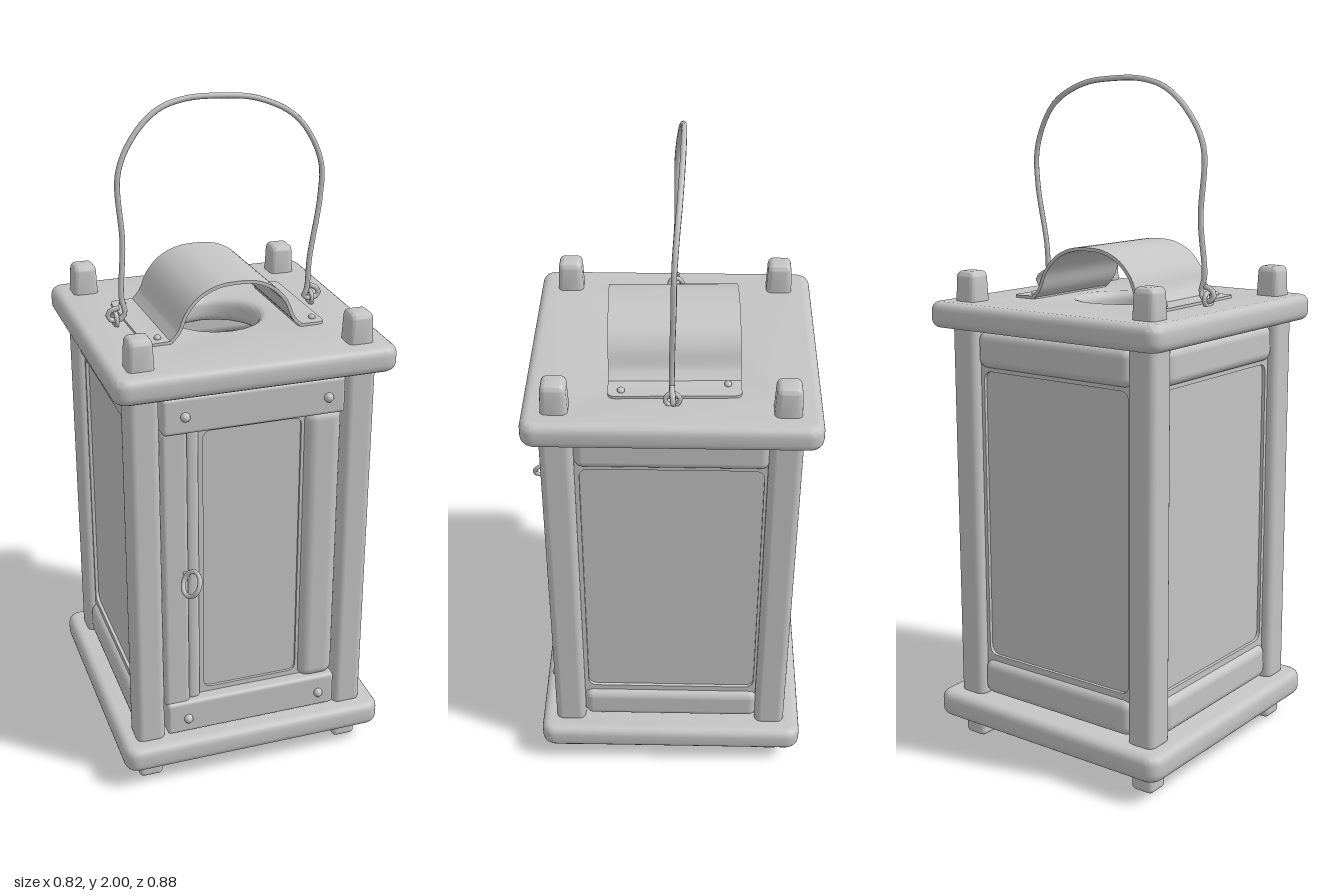
import * as THREE from 'three';
import { toCreasedNormals } from 'three/addons/utils/BufferGeometryUtils.js';
import { RoundedBoxGeometry } from 'three/addons/geometries/RoundedBoxGeometry.js';

const CZ = -0.027; // depth centre of the lantern body

export function createModel() {
  const model = new THREE.Group();
  const grey = new THREE.MeshStandardMaterial({ color: 0xc4c4c4 });
  grey.name = 'plain grey';

  const add = (name, geometry, x = 0, y = 0, z = 0, parent = model) => {
    const mesh = new THREE.Mesh(geometry, grey);
    mesh.name = name;
    mesh.position.set(x, y, z);
    parent.add(mesh);
    return mesh;
  };
  // Soft-edged box given by its limits
  const softBox = (name, x0, x1, y0, y1, z0, z1, r = 0.02, parent = model) =>
    add(name, new RoundedBoxGeometry(x1 - x0, y1 - y0, z1 - z0, 3, r),
      (x0 + x1) / 2, (y0 + y1) / 2, (z0 + z1) / 2, parent);

  const roundedRect = (Type, w, h, r) => {
    const s = new Type(), x = w / 2, y = h / 2;
    s.moveTo(-x + r, -y);
    s.lineTo(x - r, -y); s.quadraticCurveTo(x, -y, x, -y + r);
    s.lineTo(x, y - r); s.quadraticCurveTo(x, y, x - r, y);
    s.lineTo(-x + r, y); s.quadraticCurveTo(-x, y, -x, y - r);
    s.lineTo(-x, -y + r); s.quadraticCurveTo(-x, -y, -x + r, -y);
    return s;
  };

  // Base and roof boards; the roof has a round vent
  const board = (name, y0, y1, vent) => {
    const b = 0.025;
    const shape = roundedRect(THREE.Shape, 0.825 - 2 * b, 0.825 - 2 * b, 0.02);
    if (vent) shape.holes.push(new THREE.Path().absarc(0, 0, 0.13 + b, 0, Math.PI * 2, true));
    const geo = new THREE.ExtrudeGeometry(shape, {
      depth: y1 - y0 - 2 * b, bevelEnabled: true, bevelThickness: b, bevelSize: b,
      bevelSegments: 4, curveSegments: 10,
    });
    geo.translate(0, 0, b).rotateX(-Math.PI / 2);
    add(name, toCreasedNormals(geo, 0.7), 0, y0, CZ);
  };
  board('baseBoard', 0.065, 0.145, false);
  board('roofBoard', 1.28, 1.357, true);

  // Corner posts with feet and tapered finials
  for (const x of [-0.322, 0.317]) {
    for (const z of [0.293, -0.342]) {
      softBox('cornerPost', x - 0.045, x + 0.045, 0.13, 1.3, z - 0.047, z + 0.047, 0.022);
      softBox('foot', x - 0.037, x + 0.037, 0, 0.1, z - 0.037, z + 0.037, 0.015);
      const finial = new RoundedBoxGeometry(0.08, 0.13, 0.08, 3, 0.018);
      const p = finial.attributes.position;
      for (let i = 0; i < p.count; i++) {
        const s = 0.93 - p.getY(i) * 1.1;
        p.setX(i, p.getX(i) * s);
        p.setZ(i, p.getZ(i) * s);
      }
      finial.computeVertexNormals();
      add('finial', toCreasedNormals(finial, 0.7), x, 1.38, z);
    }
  }

  // Glazed wall facing +z in its own group: rails, thin frame and pane
  const wall = (name, width) => {
    const g = new THREE.Group();
    g.name = name;
    const w = width / 2;
    softBox('topRail', -w, w, 1.165, 1.275, -0.06, 0, 0.028, g);
    softBox('bottomRail', -w, w, 0.15, 0.258, -0.06, 0, 0.028, g);
    const frame = roundedRect(THREE.Shape, width, 0.96, 0.005);
    frame.holes.push(roundedRect(THREE.Path, width - 0.03, 0.88, 0.03));
    const geo = new THREE.ExtrudeGeometry(frame, { depth: 0.03, bevelEnabled: false });
    add('paneFrame', toCreasedNormals(geo, 0.6), 0, 0.715, -0.048, g);
    add('pane', new THREE.BoxGeometry(width, 0.95, 0.012), 0, 0.715, -0.034, g);
    model.add(g);
    return g;
  };
  const left = wall('leftWall', 0.55);
  left.position.set(0.352, 0, CZ);
  left.rotation.y = Math.PI / 2;
  const right = wall('rightWall', 0.55);
  right.position.set(-0.357, 0, CZ);
  right.rotation.y = -Math.PI / 2;
  const back = wall('backWall', 0.555);
  back.position.set(-0.002, 0, -0.378);
  back.rotation.y = Math.PI;

  // Front door
  const door = new THREE.Group();
  door.name = 'door';
  model.add(door);
  softBox('doorTopRail', -0.272, 0.267, 1.16, 1.272, 0.28, 0.345, 0.012, door);
  softBox('doorBottomRail', -0.272, 0.267, 0.153, 0.263, 0.28, 0.345, 0.012, door);
  softBox('doorOuterStile', -0.275, -0.198, 0.25, 1.17, 0.27, 0.336, 0.014, door);
  softBox('doorInnerStile', -0.205, -0.16, 0.25, 1.17, 0.26, 0.325, 0.02, door);
  softBox('doorHingeStile', 0.157, 0.27, 0.25, 1.17, 0.255, 0.332, 0.035, door);
  const doorFrame = roundedRect(THREE.Shape, 0.35, 0.93, 0.005);
  doorFrame.holes.push(roundedRect(THREE.Path, 0.295, 0.865, 0.025));
  add('doorPaneFrame', toCreasedNormals(
    new THREE.ExtrudeGeometry(doorFrame, { depth: 0.02, bevelEnabled: false }), 0.6),
    0.002, 0.712, 0.288, door);
  add('doorPane', new THREE.BoxGeometry(0.35, 0.92, 0.012), 0.002, 0.712, 0.294, door);
  for (const x of [-0.208, 0.214]) {
    for (const y of [0.205, 1.215]) {
      const pin = add('doorPin', new THREE.SphereGeometry(0.014, 12, 8), x, y, 0.348, door);
      pin.scale.z = 1.1;
    }
  }

  // Ring pull on the door
  const pull = new THREE.Group();
  pull.name = 'ringPull';
  pull.position.set(-0.21, 0.713, 0.398);
  pull.rotation.set(0, 0, -0.5);
  const ring = add('pullRing', new THREE.TorusGeometry(0.036, 0.007, 8, 20), 0, 0, 0, pull);
  ring.rotation.y = Math.PI / 2 + 0.25;
  const shank = add('pullShank', new THREE.CylinderGeometry(0.007, 0.007, 0.045, 8), 0, 0, -0.056, pull);
  shank.rotation.x = Math.PI / 2;
  model.add(pull);

  // Arched heat shield over the vent
  const shield = new THREE.Group();
  shield.name = 'heatShield';
  shield.position.set(0, 1.357, -0.026);
  shield.rotation.y = 0.03;
  model.add(shield);
  const half = [[0, 0.162], [0.06, 0.156], [0.115, 0.13], [0.155, 0.085], [0.177, 0.035], [0.2, 0.009]];
  const arch = new THREE.CatmullRomCurve3(
    [...half.slice(1).reverse().map(([x, y]) => [-x, y]), ...half]
      .map(([x, y]) => new THREE.Vector3(x, y, 0))).getPoints(40);
  const line = [new THREE.Vector3(-0.235, 0.008, 0), ...arch, new THREE.Vector3(0.235, 0.008, 0)];
  const outline = [], inner = [];
  line.forEach((p, i) => {
    const a = line[Math.max(i - 1, 0)], b = line[Math.min(i + 1, line.length - 1)];
    const d = b.clone().sub(a).normalize();
    outline.push(new THREE.Vector2(p.x, p.y));
    inner.push(new THREE.Vector2(p.x + d.y * 0.01, p.y - d.x * 0.01));
  });
  const archGeo = new THREE.ExtrudeGeometry(
    new THREE.Shape([...outline, ...inner.reverse()]), { depth: 0.37, bevelEnabled: false });
  add('shieldArch', toCreasedNormals(archGeo, 0.6), 0, 0, -0.185, shield);
  for (const s of [-1, 1]) {
    const flange = new THREE.ExtrudeGeometry(roundedRect(THREE.Shape, 0.08, 0.37, 0.022),
      { depth: 0.01, bevelEnabled: false });
    flange.rotateX(-Math.PI / 2);
    add('shieldFlange', toCreasedNormals(flange, 0.6), s * 0.231, -0.002, 0, shield);
  }
  for (const [x, z] of [[-0.245, -0.165], [0.215, -0.18], [-0.222, 0.132], [0.25, 0.115]]) {
    const rivet = add('shieldRivet', new THREE.SphereGeometry(0.011, 10, 8), x, 1.368, z);
    rivet.scale.y = 0.8;
  }

  // Eyelets and hooked wire handle
  for (const x of [-0.302, 0.3]) {
    const eye = add('handleEyelet', new THREE.TorusGeometry(0.02, 0.007, 8, 16), x, 1.375, -0.028);
    eye.rotation.y = Math.PI / 2;
  }
  const wire = [
    [-0.29, 1.41, -0.025], [-0.318, 1.4, -0.03], [-0.322, 1.378, -0.032], [-0.295, 1.37, -0.028],
    [-0.275, 1.39, -0.024], [-0.284, 1.44, -0.022], [-0.274, 1.6, -0.03], [-0.281, 1.8, -0.03],
    [-0.232, 1.9, -0.038], [-0.16, 1.965, -0.046], [-0.08, 1.989, -0.05], [0.02, 1.991, -0.05],
    [0.13, 1.978, -0.048], [0.235, 1.93, -0.043], [0.288, 1.87, -0.037], [0.325, 1.78, -0.031],
    [0.324, 1.68, -0.03], [0.295, 1.5, -0.026], [0.288, 1.4, -0.026], [0.28, 1.38, -0.028],
    [0.3, 1.37, -0.03], [0.328, 1.38, -0.03], [0.322, 1.4, -0.028], [0.296, 1.415, -0.026],
  ].map((p) => new THREE.Vector3(...p));
  add('wireHandle', new THREE.TubeGeometry(
    new THREE.CatmullRomCurve3(wire, false, 'centripetal'), 120, 0.008, 8));

  return model;
}
